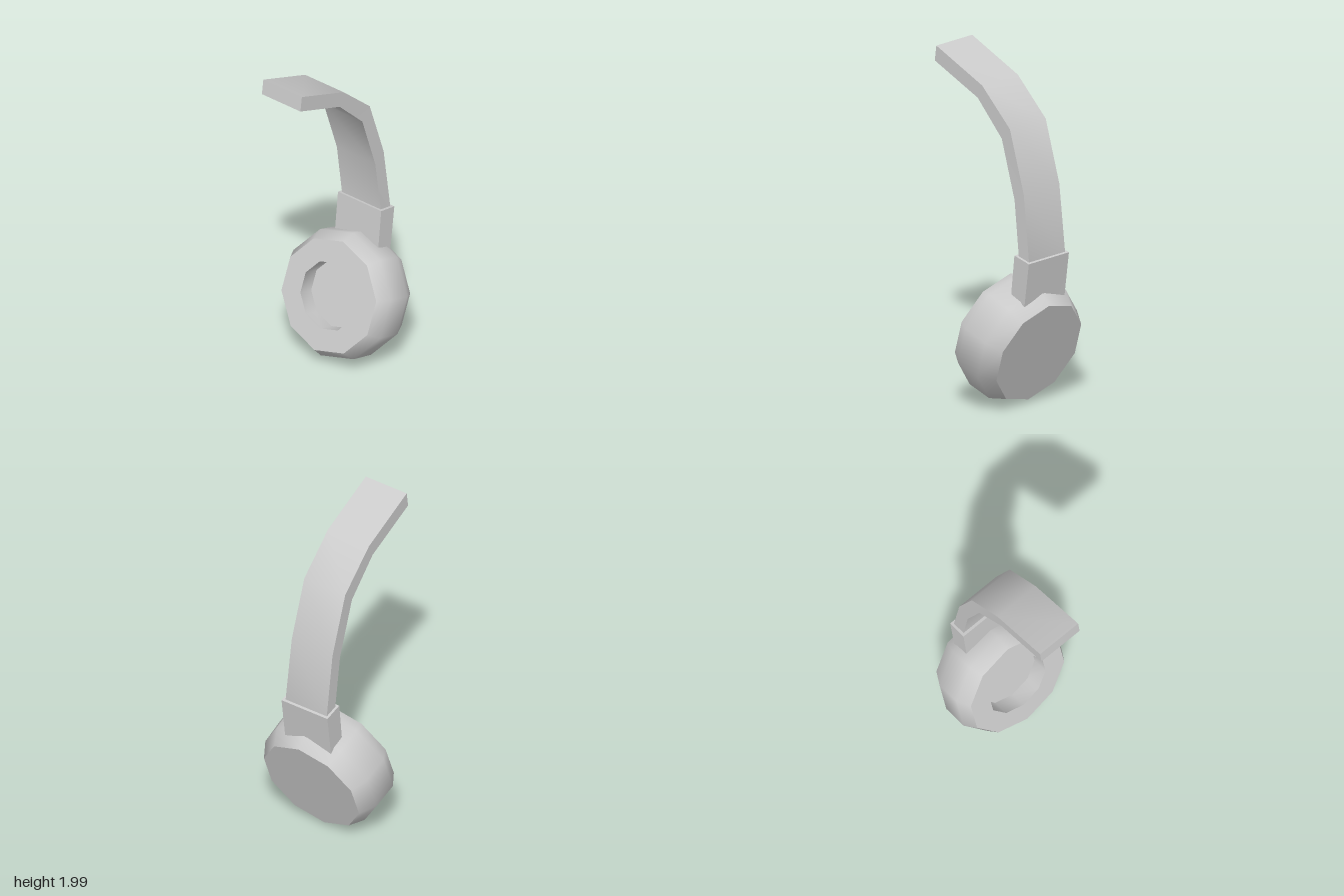
import * as THREE from 'three';
import { toCreasedNormals } from 'three/addons/utils/BufferGeometryUtils.js';

const material = new THREE.MeshStandardMaterial({ color: 0xcccccc });

function part(name, geometry, crease = 0.8) {
  const mesh = new THREE.Mesh(toCreasedNormals(geometry, crease), material);
  mesh.name = name;
  return mesh;
}

// Closed solid through a row of four-cornered cross-sections
function loft(sections) {
  const index = [0, 1, 2, 0, 2, 3];
  for (let i = 0; i < sections.length - 1; i++) {
    for (let k = 0; k < 4; k++) {
      const a = i * 4 + k, b = i * 4 + (k + 1) % 4;
      index.push(a, a + 4, b + 4, a, b + 4, b);
    }
  }
  const e = (sections.length - 1) * 4;
  index.push(e, e + 2, e + 1, e, e + 3, e + 2);
  const geometry = new THREE.BufferGeometry();
  geometry.setAttribute('position', new THREE.Float32BufferAttribute(sections.flat(2), 3));
  geometry.setIndex(index);
  return geometry.toNonIndexed();
}

export function createModel() {
  const model = new THREE.Group();
  model.name = 'halfHeadphones';

  // Headband: outer x, y, inner x, y, front z, back z
  const arc = [
    [-0.395, 2.0, -0.408, 1.91, 0.12, -0.16],
    [-0.03, 1.85, -0.065, 1.77, 0.12, -0.16],
    [0.195, 1.645, 0.13, 1.575, 0.123, -0.157],
    [0.31, 1.29, 0.237, 1.24, 0.128, -0.151],
    [0.36, 0.9, 0.28, 0.9, 0.135, -0.147],
    [0.345, 0.8, 0.275, 0.8, 0.135, -0.147],
  ];
  model.add(part('headband', loft(arc.map(([ox, oy, ix, iy, f, b]) =>
    [[ox, oy, f], [ox, oy, b], [ix, iy, b], [ix, iy, f]]))));

  // Bracket with a notched lower edge on its outer side
  const bracket = [[-0.162, 0.34, 0.64], [0, 0.345, 0.69], [0.152, 0.34, 0.64]];
  model.add(part('bracket', loft(bracket.map(([z, x, y]) =>
    [[0.26, 0.925, z], [0.375, 0.9, z], [x, y, z], [0.235, 0.695, z]]))));

  // Ear cup: ten-sided, recessed on the ear side, tilted along its axis
  const profile = [
    [0, 0.1], [0.2, 0.1], [0.2, 0], [0.333, 0],
    [0.376, 0.075], [0.372, 0.235], [0.318, 0.332], [0, 0.332],
  ].map(([r, t]) => new THREE.Vector2(r, t));
  const cup = part('earCup', new THREE.LatheGeometry(profile, 10, THREE.MathUtils.degToRad(3)));
  const axis = new THREE.Vector3(0.949, -0.316, 0).normalize();
  const up = new THREE.Vector3(-axis.y, axis.x, 0);
  cup.quaternion.setFromRotationMatrix(
    new THREE.Matrix4().makeBasis(new THREE.Vector3(0, 0, 1), axis, up));
  cup.position.set(-0.015, 0.435, 0);
  model.add(cup);

  return model;
}
